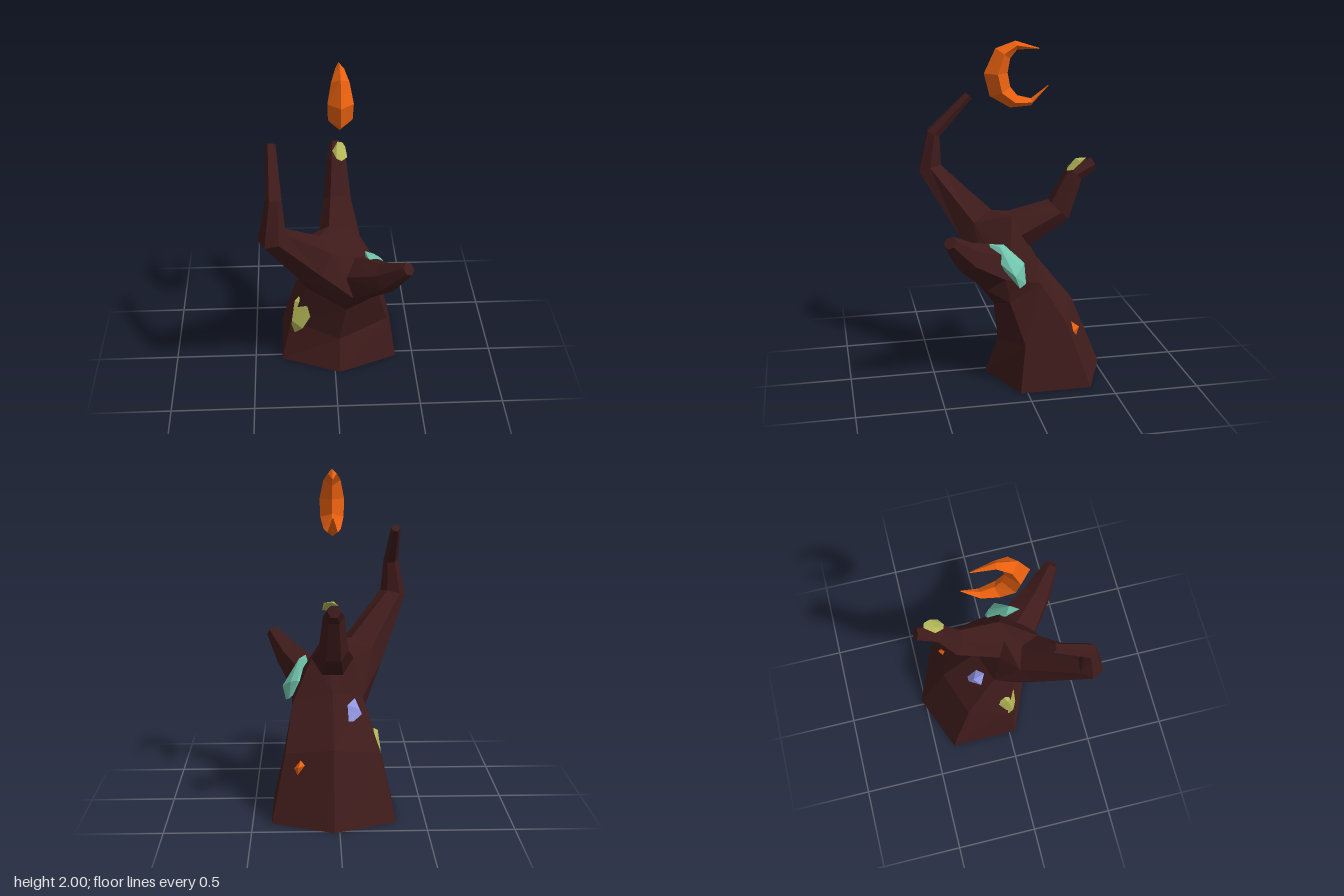
import * as THREE from 'three';
import { ConvexGeometry } from 'three/addons/geometries/ConvexGeometry.js';

const V = (p) => new THREE.Vector3(...p);

function mesh(name, geometry, color, parent) {
  const m = new THREE.Mesh(geometry, new THREE.MeshStandardMaterial({ color, flatShading: true }));
  m.name = name;
  parent.add(m);
  return m;
}

// Skin a list of equal-length rings (counter-clockwise around the path), closing both ends
function loft(rings) {
  const n = rings[0].length, pos = [];
  const tri = (...pts) => pts.forEach((p) => pos.push(p.x, p.y, p.z));
  for (let r = 0; r < rings.length - 1; r++) {
    for (let i = 0; i < n; i++) {
      const j = (i + 1) % n, a = rings[r], b = rings[r + 1];
      tri(a[i], a[j], b[j]);
      tri(a[i], b[j], b[i]);
    }
  }
  const first = rings[0], last = rings[rings.length - 1];
  for (let i = 1; i < n - 1; i++) {
    tri(first[0], first[i + 1], first[i]);
    tri(last[0], last[i], last[i + 1]);
  }
  const g = new THREE.BufferGeometry();
  g.setAttribute('position', new THREE.Float32BufferAttribute(pos, 3));
  g.computeVertexNormals();
  return g;
}

// Six-sided rings along a bent spine of [x, y, z, radius]
function branchRings(spine) {
  const pts = spine.map((s) => V(s.slice(0, 3)));
  return pts.map((p, k) => {
    const dir = new THREE.Vector3();
    if (k > 0) dir.add(p.clone().sub(pts[k - 1]).normalize());
    if (k < pts.length - 1) dir.add(pts[k + 1].clone().sub(p).normalize());
    dir.normalize();
    const u = new THREE.Vector3(1, 0, 0).addScaledVector(dir, -dir.x).normalize();
    const v = dir.clone().cross(u);
    return Array.from({ length: 6 }, (_, i) => {
      const a = (i / 6) * Math.PI * 2, r = spine[k][3];
      return p.clone().addScaledVector(u, Math.cos(a) * r).addScaledVector(v, Math.sin(a) * r);
    });
  });
}

export function createModel() {
  const model = new THREE.Group();
  model.name = 'treeStump';
  const bark = 0x3f1b1b, orange = 0xe8600f, olive = 0xb4b858, teal = 0x70c4ac, lavender = 0x9a9ff0;

  // Leaning trunk: hexagonal rings that tilt more with height
  const trunkRings = [
    [[.03, 0, .19], [.39, 0, .04], [.39, 0, -.38], [.03, 0, -.525], [-.33, 0, -.38], [-.33, 0, .04]],
    [[.03, .2, .11], [.33, .27, 0], [.31, .38, -.25], [.03, .43, -.35], [-.24, .38, -.25], [-.27, .27, 0]],
    [[.07, .45, .14], [.27, .52, .08], [.27, .63, -.1], [.03, .71, -.13], [-.15, .66, -.06], [-.17, .57, .07]],
  ].map((ring) => ring.map(V));
  mesh('trunk', loft(trunkRings), bark, model);

  // Three branches
  const branches = {
    rightBranch: [[-.15, .88, .2, .14], [-.36, 1.19, .455, .08], [-.345, 1.41, .43, .045], [-.355, 1.632, .21, .028]],
    leftBranch: [[.16, .71, .17, .14], [.29, .82, .33, .09], [.4, .95, .44, .04]],
    backBranch: [[.03, .89, -.01, .125], [.03, 1.0, -.26, .085], [.03, 1.22, -.355, .06], [.03, 1.27, -.47, .038]],
  };
  const hubPoints = [...trunkRings[2]];
  for (const [name, spine] of Object.entries(branches)) {
    const rings = branchRings(spine);
    hubPoints.push(...rings[0]);
    mesh(name, loft(rings), bark, model);
  }

  // Fork joining the trunk to the branch bases
  mesh('fork', new ConvexGeometry(hubPoints), bark, model);

  // Floating crescent: [outer z, y, inner z, y, half width], diamond section
  const crescent = [
    [-.14, 1.955, -.135, 1.95, .003],
    [0, 2.0, -.01, 1.95, .025],
    [.115, 1.96, .03, 1.9, .05],
    [.182, 1.82, .045, 1.82, .072],
    [.15, 1.69, .03, 1.74, .068],
    [.03, 1.62, -.01, 1.69, .05],
    [-.09, 1.628, -.09, 1.67, .03],
    [-.195, 1.74, -.19, 1.742, .003],
  ].map(([oz, oy, iz, iy, w]) => {
    const my = (oy + iy) / 2, mz = (oz + iz) / 2;
    return [[.03, oy, oz], [.03 - w, my, mz], [.03, iy, iz], [.03 + w, my, mz]].map(V);
  });
  mesh('crescent', loft(crescent), orange, model);

  // Faceted crystals growing from the bark
  const crystal = (name, color, points) => mesh(name, new ConvexGeometry(points.map(V)), color, model);
  crystal('rightCrystal', olive, [
    [-.22, .45, -.01], [-.245, .43, .01], [-.17, .43, .05], [-.15, .35, .07], [-.225, .34, -.1],
    [-.27, .2, -.02], [-.25, .19, .02], [-.265, .3, .04], [-.2, .26, .07],
  ]);
  crystal('leftCrystal', teal, [
    [.19, .86, .185], [.18, .85, .1], [.23, .8, .18], [.23, .85, .13], [.175, .74, -.01], [.24, .75, -.01],
    [.29, .64, -.01], [.31, .62, .03], [.33, .7, .06], [.28, .74, .01],
  ]);
  crystal('branchCrystal', olive, [
    [.04, 1.31, -.42], [.07, 1.31, -.41], [.005, 1.28, -.36], [.03, 1.25, -.31], [.06, 1.24, -.3],
    [.095, 1.25, -.33], [.085, 1.3, -.37], [.03, 1.305, -.36],
  ]);
  crystal('backCrystal', lavender, [
    [-.14, .58, -.14], [-.09, .56, -.21], [-.06, .56, -.21], [-.055, .64, -.15], [-.1, .67, -.11], [-.11, .63, -.18],
  ]);
  crystal('smallCrystal', orange, [
    [.195, .33, -.32], [.27, .3, -.285], [.22, .355, -.3], [.24, .27, -.325], [.235, .325, -.345], [.23, .31, -.28],
  ]);
  return model;
}
